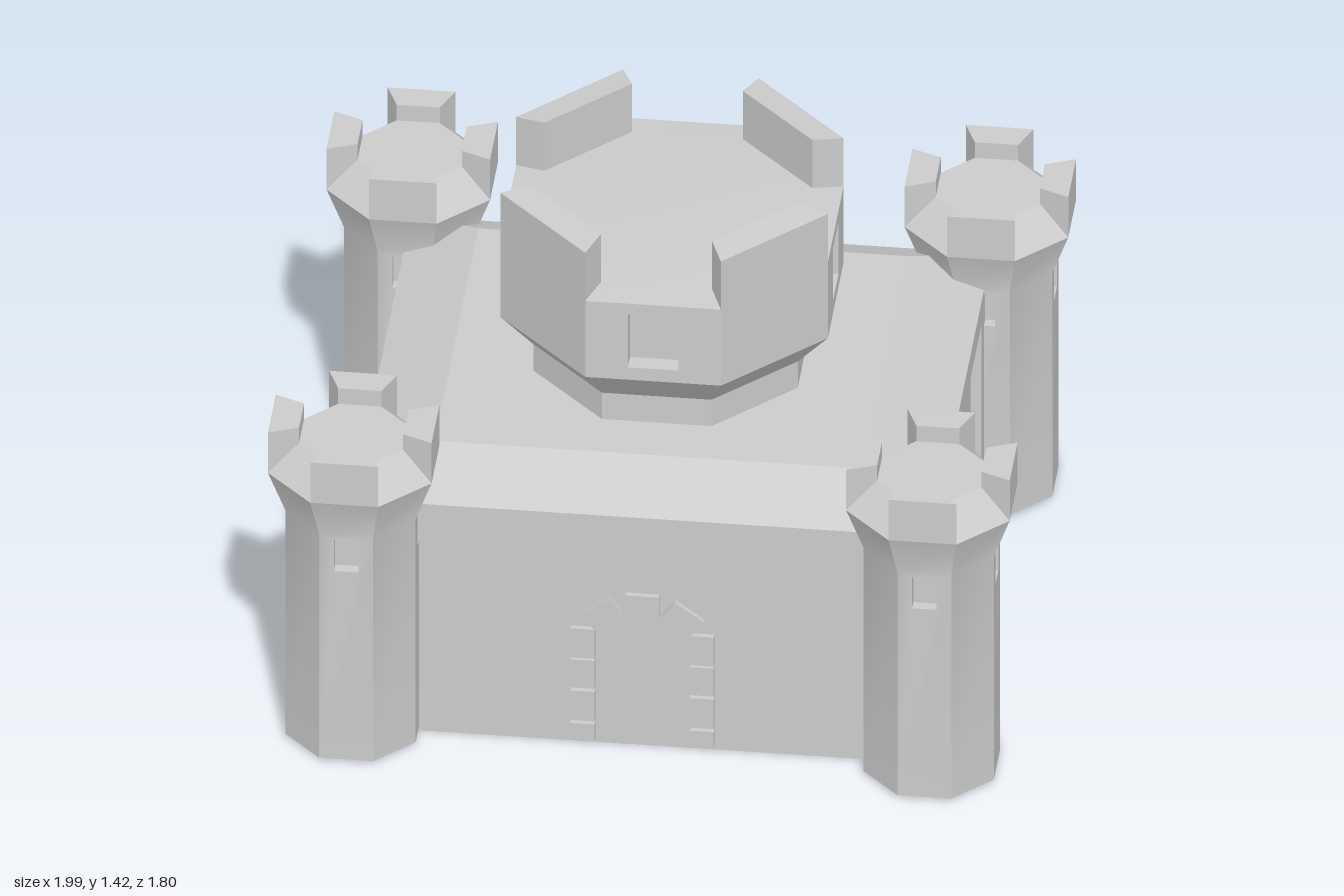
import * as THREE from 'three';
import { mergeGeometries, toCreasedNormals } from 'three/addons/utils/BufferGeometryUtils.js';

const material = new THREE.MeshStandardMaterial({ color: 0xcccccc });

// Cross-sections, ordered so that face 0 looks towards +z and the next ones turn towards +x
function octagon(apothem, y, shift = -0.5) {
  const r = apothem / Math.cos(Math.PI / 8);
  return Array.from({ length: 8 }, (_, k) => {
    const a = (k + shift) * Math.PI / 4;
    return [r * Math.sin(a), y, r * Math.cos(a)];
  });
}
const rectangle = (x, z, y) => [[-x, y, z], [x, y, z], [x, y, -z], [-x, y, -z]];

// Joins cross-sections with walls and caps; open(level, side) leaves a wall out
function loft(sections, open = () => false) {
  const p = [];
  const n = sections[0].length;
  const top = sections[sections.length - 1];
  const bottom = sections[0];
  for (let s = 0; s < sections.length - 1; s++) {
    const a = sections[s], b = sections[s + 1];
    for (let k = 0; k < n; k++) {
      if (open(s, k)) continue;
      const j = (k + 1) % n;
      p.push(...a[k], ...a[j], ...b[j], ...a[k], ...b[j], ...b[k]);
    }
  }
  for (let k = 1; k < n - 1; k++) {
    p.push(...top[0], ...top[k], ...top[k + 1]);
    p.push(...bottom[0], ...bottom[k + 1], ...bottom[k]);
  }
  const g = new THREE.BufferGeometry();
  g.setAttribute('position', new THREE.Float32BufferAttribute(p, 3));
  return g;
}

// Wall with a rectangular recess, set at a distance from the axis and turned about it
function recessedWall({ half, y0, y1, hole, depth, distance, angle }) {
  const [hx, h0, h1] = hole;
  const outline = (Type, x, a, b) => new Type([[-x, a], [x, a], [x, b], [-x, b]].map(q => new THREE.Vector2(...q)));
  const shape = outline(THREE.Shape, half, y0, y1);
  shape.holes.push(outline(THREE.Path, hx, h0, h1));
  const wall = new THREE.ExtrudeGeometry(shape, { depth, bevelEnabled: false });
  const back = new THREE.PlaneGeometry(2 * hx, h1 - h0).toNonIndexed();
  back.translate(0, (h0 + h1) / 2, 0);
  return [wall, back].map(g => {
    g.translate(0, 0, distance - depth).rotateY(angle);
    g.deleteAttribute('uv');
    g.deleteAttribute('normal');
    return g;
  });
}

function addMesh(parent, name, geometries, crease = 0.4) {
  const g = toCreasedNormals(mergeGeometries([geometries].flat()), crease);
  const mesh = new THREE.Mesh(g, material);
  mesh.name = name;
  parent.add(mesh);
  return mesh;
}

// Battlement block standing on one side of an octagonal rim
function merlon(outer, inner, side, y0, yOut, yIn) {
  const o = octagon(outer, 0), i = octagon(inner, 0), j = (side + 1) % 8;
  const corners = [o[side], o[j], i[j], i[side]];
  const at = (a, b) => corners.map(([x, , z], k) => [x, k < 2 ? a : b, z]);
  return loft([at(y0, y0), at(yOut, yIn)]);
}

function createTower() {
  const tower = new THREE.Group();
  const windows = [0, 2];
  const shaft = loft(
    [octagon(0.175, 0.01), octagon(0.175, 0.73), octagon(0.22, 0.86), octagon(0.14, 0.94)],
    (s, k) => s === 0 && windows.includes(k));
  const walls = windows.flatMap(k => recessedWall({
    half: 0.175 * Math.tan(Math.PI / 8), y0: 0.01, y1: 0.73,
    hole: [0.033, 0.615, 0.715], depth: 0.03, distance: 0.175, angle: k * Math.PI / 4,
  }));
  addMesh(tower, 'towerShaft', [shaft, ...walls], 0.5);
  for (const k of [0, 2, 4, 6]) addMesh(tower, 'towerMerlon', merlon(0.22, 0.14, k, 0.86, 0.99, 0.99));
  return tower;
}

function createKeep() {
  const keep = new THREE.Group();
  keep.name = 'keep';
  const body = loft(
    [octagon(0.355, 0.81), octagon(0.355, 0.905), octagon(0.44, 1.01), octagon(0.44, 1.255), octagon(0.36, 1.265)],
    (s, k) => s === 2 && k % 2 === 0);
  const walls = [0, 2, 4, 6].flatMap(k => recessedWall({
    half: 0.44 * Math.tan(Math.PI / 8), y0: 1.01, y1: 1.255,
    hole: [0.068, 1.05, 1.22], depth: 0.05, distance: 0.44, angle: k * Math.PI / 4,
  }));
  addMesh(keep, 'keepWalls', [body, ...walls]);
  for (const k of [1, 3, 5, 7]) addMesh(keep, 'keepMerlon', merlon(0.44, 0.36, k, 1.255, 1.41, 1.42));
  return keep;
}

// Stone blocks framing the doorway
function createDoorway() {
  const door = new THREE.Group();
  door.name = 'doorway';
  const block = (w, h, x, y, turn = 0) => {
    const mesh = new THREE.Mesh(new THREE.BoxGeometry(w, h, 0.04), material);
    mesh.name = 'doorStone';
    mesh.position.set(x, y, 0.675);
    mesh.rotation.z = turn;
    door.add(mesh);
  };
  for (const s of [-1, 1]) {
    for (const [a, b] of [[0.015, 0.065], [0.075, 0.17], [0.18, 0.27], [0.277, 0.37]]) {
      block(0.065, b - a, s * 0.16, (a + b) / 2);
    }
    block(0.095, 0.063, s * 0.108, 0.42, -s * 0.63);
  }
  block(0.09, 0.065, 0, 0.455);
  return door;
}

export function createModel() {
  const castle = new THREE.Group();
  castle.name = 'castle';

  // Main hall with sloped roof edge and sunken side panels
  const hall = loft(
    [rectangle(0.78, 0.68, 0), rectangle(0.78, 0.68, 0.73), rectangle(0.58, 0.51, 0.82)],
    (s, k) => s === 0 && k % 2 === 1);
  const sides = [1, -1].flatMap(s => recessedWall({
    half: 0.68, y0: 0, y1: 0.73, hole: [0.447, 0.015, 0.655],
    depth: 0.03, distance: 0.78, angle: s * Math.PI / 2,
  }));
  addMesh(castle, 'hall', [hall, ...sides]);

  // Corner towers
  for (const x of [-0.777, 0.777]) {
    for (const z of [-0.68, 0.68]) {
      const tower = createTower();
      tower.name = (z > 0 ? 'front' : 'back') + (x > 0 ? 'Left' : 'Right') + 'Tower';
      tower.position.set(x, 0, z);
      castle.add(tower);
    }
  }

  castle.add(createKeep(), createDoorway());

  // Rounded chapel bay on the back wall
  const bay = [[0.18, 0.01], [0.18, 0.44], [0.155, 0.48], [0.002, 0.61]].map(([r, y]) => octagon(r, y, 0));
  addMesh(castle, 'backBay', loft(bay), 0.5).position.z = -0.68;

  return castle;
}
